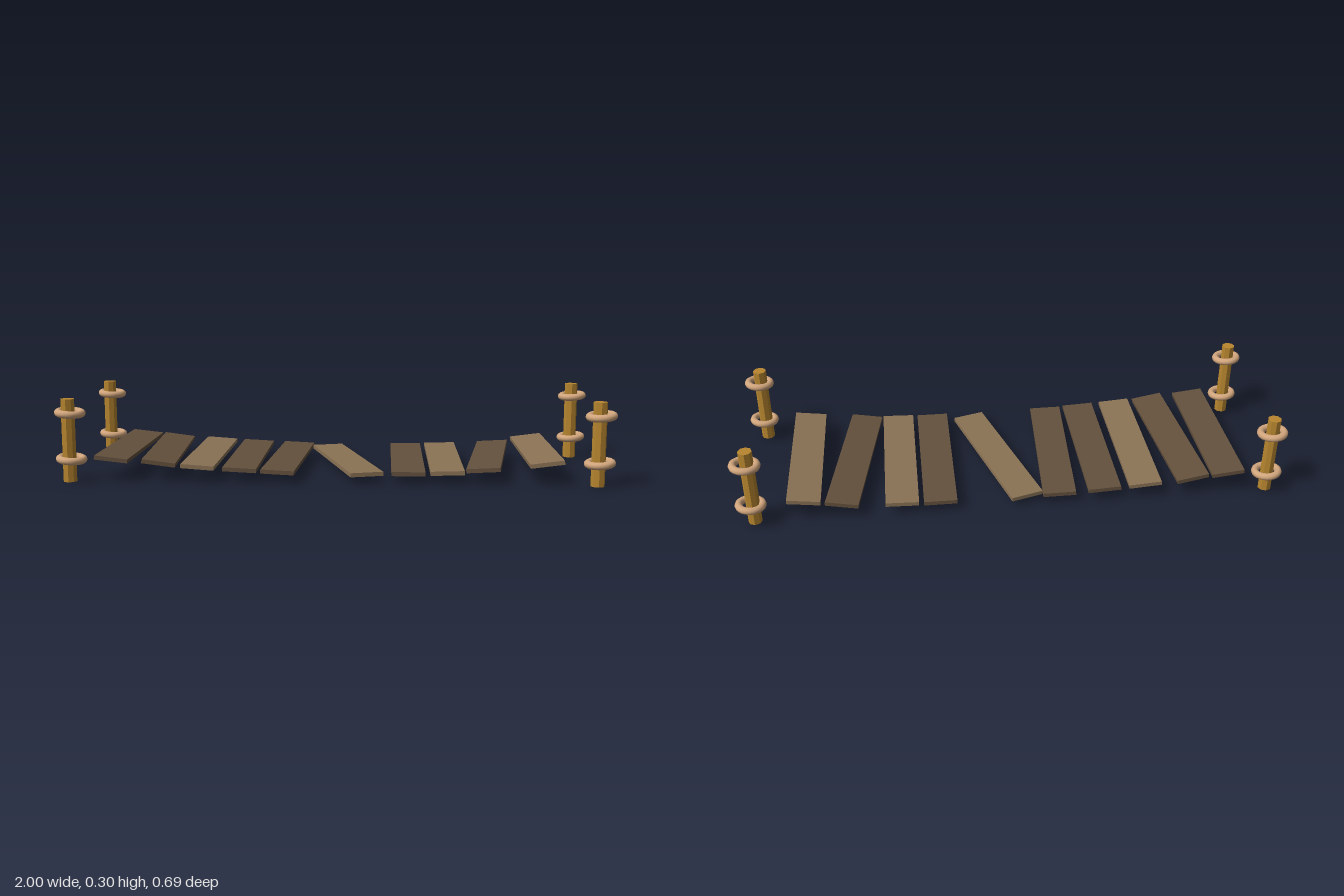
import * as THREE from 'three';

const mat = (color, flatShading = false) => new THREE.MeshStandardMaterial({ color, flatShading });

export function createModel() {
  const bridge = new THREE.Group();
  bridge.name = 'plankBridge';

  const postWood = mat(0xb8862f, true);
  const rope = mat(0xd2a67d);
  const lightWood = mat(0x8b7355, true);
  const darkWood = mat(0x64513d, true);

  const add = (name, geometry, material, x, y, z) => {
    const mesh = new THREE.Mesh(geometry, material);
    mesh.name = name;
    mesh.position.set(x, y, z);
    bridge.add(mesh);
    return mesh;
  };

  // Four octagonal posts, each standing loosely in two slightly tilted rope rings
  const postGeometry = new THREE.CylinderGeometry(0.025, 0.025, 0.3, 8);
  const ringGeometry = new THREE.TorusGeometry(0.042, 0.0135, 10, 24).rotateX(Math.PI / 2);
  for (const sx of [-1, 1]) {
    for (const sz of [-1, 1]) {
      const side = (sz > 0 ? 'front' : 'back') + (sx > 0 ? 'Left' : 'Right');
      add(side + 'Post', postGeometry, postWood, sx * 0.943 - 0.006, 0.15, sz * 0.287 + 0.008);
      for (const [level, y] of [['Lower', 0.081], ['Upper', 0.249]]) {
        const ring = add(side + level + 'Ring', ringGeometry, rope, sx * 0.943, y, sz * 0.29);
        ring.rotation.set(0.05, 0, sx * 0.08);
      }
    }
  }

  // Sagging deck planks: x, y, slope, yaw, light or dark
  const planks = [
    [-0.797, 0.083, -0.11, 0, 0],
    [-0.645, 0.070, -0.14, 0.066, 0],
    [-0.486, 0.057, -0.07, 0, 1],
    [-0.334, 0.048, -0.05, 0, 0],
    [-0.182, 0.041, -0.04, -0.053, 0],
    [0.037, 0.034, 0, 0.288, 1],
    [0.270, 0.039, 0, 0, 0],
    [0.409, 0.043, 0.03, 0, 1],
    [0.580, 0.054, 0.08, -0.152, 0],
    [0.759, 0.078, 0.13, 0, 1],
  ];
  const plankGeometry = new THREE.BoxGeometry(0.121, 0.015, 0.605);
  planks.forEach(([x, y, slope, yaw, light], i) => {
    const plank = add('plank' + (i + 1), plankGeometry, light ? lightWood : darkWood, x, y, 0.005);
    plank.rotation.set(0, yaw, slope, 'YXZ');
  });

  return bridge;
}
